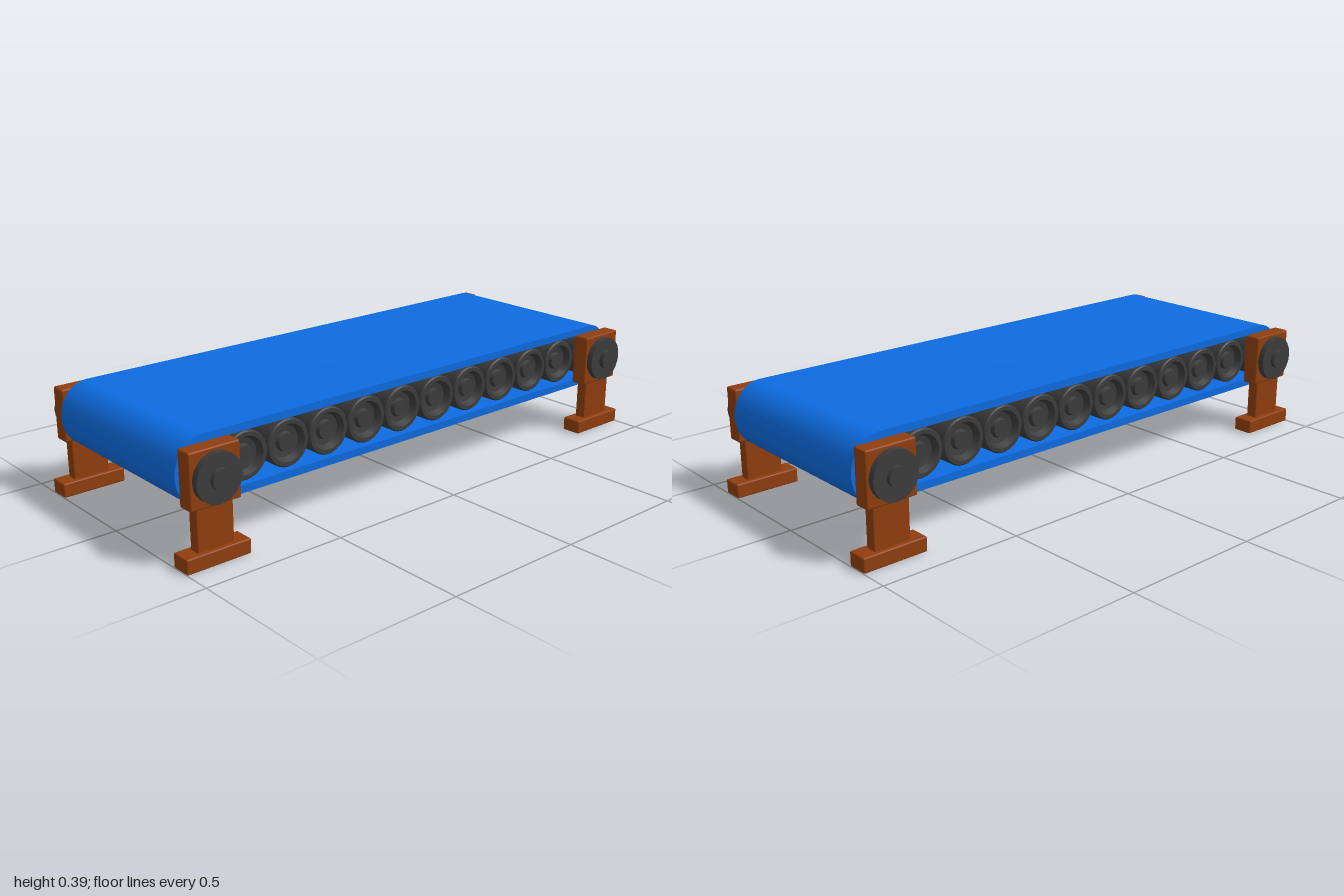
import * as THREE from 'three';
import { RoundedBoxGeometry } from 'three/addons/geometries/RoundedBoxGeometry.js';
import { toCreasedNormals } from 'three/addons/utils/BufferGeometryUtils.js';

const blue = new THREE.MeshStandardMaterial({ color: 0x0d6be0 });
const rust = new THREE.MeshStandardMaterial({ color: 0x8f3e0e });
const dark = new THREE.MeshStandardMaterial({ color: 0x3c3c3c });

const AXLE_Y = 0.281;
const AXLE_Z = 0.885;

function addMesh(parent, name, geometry, material, x = 0, y = 0, z = 0) {
  const mesh = new THREE.Mesh(geometry, material);
  mesh.name = name;
  mesh.position.set(x, y, z);
  parent.add(mesh);
  return mesh;
}

// Closed loop with flat runs and elliptical ends
function loopPath(path, rx, ry) {
  path.moveTo(-AXLE_Z, -ry);
  path.lineTo(AXLE_Z, -ry);
  path.absellipse(AXLE_Z, 0, rx, ry, -Math.PI / 2, Math.PI / 2, false);
  path.lineTo(-AXLE_Z, ry);
  path.absellipse(-AXLE_Z, 0, rx, ry, Math.PI / 2, Math.PI * 1.5, false);
  return path;
}

function beltGeometry() {
  const shape = loopPath(new THREE.Shape(), 0.1, 0.113);
  shape.holes.push(loopPath(new THREE.Path(), 0.083, 0.087));
  const geometry = new THREE.ExtrudeGeometry(shape, { depth: 0.676, bevelEnabled: false, curveSegments: 20 });
  geometry.translate(0, 0, -0.338);
  geometry.rotateY(Math.PI / 2);
  return toCreasedNormals(geometry, 0.6);
}

// Roller with a dished recess and a small hub at each end
function rollerGeometry() {
  const end = [[0, 0.318], [0.028, 0.318], [0.033, 0.305], [0.052, 0.308], [0.063, 0.33], [0.076, 0.33], [0.08, 0.325]];
  const points = [
    ...end.map(([r, h]) => new THREE.Vector2(r, -h)),
    ...end.slice().reverse().map(([r, h]) => new THREE.Vector2(r, h)),
  ];
  const geometry = new THREE.LatheGeometry(points, 28);
  geometry.rotateZ(Math.PI / 2);
  return toCreasedNormals(geometry, 0.5);
}

function discGeometry(radius, length) {
  return new THREE.CylinderGeometry(radius, radius, length, 24).rotateZ(Math.PI / 2);
}

// Leg with foot, post, bearing block and stepped axle cap
function makeLeg(side, end) {
  const leg = new THREE.Group();
  leg.name = (end > 0 ? 'front' : 'back') + (side > 0 ? 'Left' : 'Right') + 'Leg';
  leg.position.z = end * AXLE_Z;
  addMesh(leg, 'foot', new RoundedBoxGeometry(0.072, 0.05, 0.23, 2, 0.005), rust, side * 0.369, 0.025, 0);
  addMesh(leg, 'post', new RoundedBoxGeometry(0.04, 0.17, 0.13, 2, 0.004), rust, side * 0.369, 0.12, 0);
  addMesh(leg, 'bearingBlock', new RoundedBoxGeometry(0.058, 0.184, 0.18, 2, 0.006), rust, side * 0.37, AXLE_Y, 0);
  addMesh(leg, 'axleCap', discGeometry(0.081, 0.024), dark, side * 0.409, AXLE_Y, 0);
  addMesh(leg, 'axleTip', discGeometry(0.034, 0.02), dark, side * 0.427, AXLE_Y, 0);
  return leg;
}

export function createModel() {
  const model = new THREE.Group();
  model.name = 'conveyorBelt';

  addMesh(model, 'belt', beltGeometry(), blue, 0, AXLE_Y, 0);

  // Ten inner rollers plus one at each end
  const roller = rollerGeometry();
  for (let i = 0; i < 12; i++) {
    addMesh(model, 'roller' + (i + 1), roller, dark, 0, AXLE_Y, (i - 5.5) * 0.161);
  }

  for (const side of [-1, 1]) {
    for (const end of [-1, 1]) model.add(makeLeg(side, end));
  }
  return model;
}
